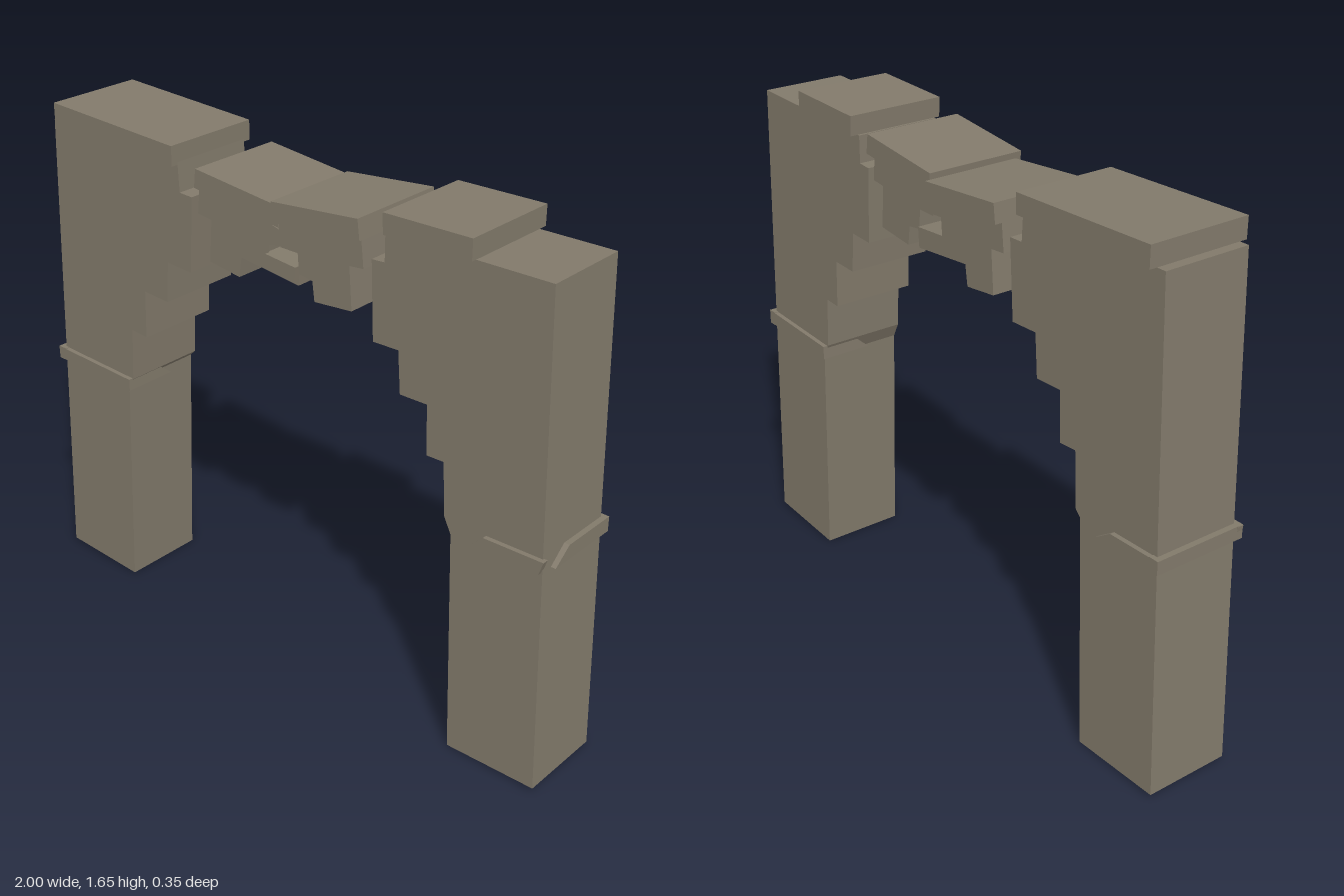
import * as THREE from 'three';

export function createModel() {
  const model = new THREE.Group();
  const stone = new THREE.MeshStandardMaterial({ color: 0x81796a });
  stone.name = 'weathered stone';

  // Extrudes an x/y outline from z0 to z1
  function slab(name, points, z0, z1, parent = model) {
    const shape = new THREE.Shape(points.map(([x, y]) => new THREE.Vector2(x, y)));
    const geo = new THREE.ExtrudeGeometry(shape, { depth: z1 - z0, bevelEnabled: false });
    geo.translate(0, 0, z0);
    const mesh = new THREE.Mesh(geo, stone);
    mesh.name = name;
    parent.add(mesh);
    return mesh;
  }

  // Leaning pillars with stepped corbels
  slab('rightPillar', [
    [-1, 0.015], [-0.69, 0.003], [-0.66, 0.76], [-0.64, 0.78], [-0.63, 0.96], [-0.565, 0.955],
    [-0.56, 1.115], [-0.46, 1.11], [-0.45, 1.245], [-0.35, 1.24], [-0.335, 1.485],
    [-0.385, 1.487], [-0.39, 1.58], [-0.94, 1.59], [-0.97, 0.78],
  ], -0.14, 0.14);
  slab('leftPillar', [
    [0.685, 0.003], [0.995, 0.015], [0.94, 1.585], [0.4, 1.575], [0.4, 1.488], [0.355, 1.485],
    [0.365, 1.242], [0.455, 1.245], [0.465, 1.113], [0.56, 1.115], [0.565, 0.958],
    [0.625, 0.96], [0.635, 0.79], [0.66, 0.74],
  ], -0.14, 0.14);

  // Cap stones on the pillars
  slab('rightCap', [[-0.91, 1.59], [-0.39, 1.572], [-0.39, 1.635], [-0.91, 1.655]], -0.165, 0.163);
  slab('leftCap', [[0.408, 1.575], [0.7, 1.582], [0.7, 1.645], [0.405, 1.638]], -0.165, 0.16);

  // Two broken, sagging pieces of the span
  slab('rightSpan', [
    [-0.32, 1.435], [-0.265, 1.43], [-0.275, 1.295], [-0.155, 1.28], [-0.145, 1.345],
    [0.08, 1.322], [0.085, 1.385], [-0.035, 1.395], [-0.03, 1.45], [0.03, 1.445],
    [0.035, 1.48], [-0.31, 1.53],
  ], -0.15, 0.13);
  slab('rightSpanCap', [[-0.315, 1.522], [0.02, 1.487], [0.01, 1.552], [-0.308, 1.582]], -0.176, 0.148);
  slab('leftSpan', [
    [0.03, 1.432], [0.095, 1.432], [0.1, 1.37], [0.15, 1.363], [0.158, 1.302], [0.295, 1.315],
    [0.285, 1.448], [0.335, 1.453], [0.325, 1.545], [0.02, 1.515],
  ], -0.135, 0.15);
  slab('leftSpanCap', [[0.018, 1.508], [0.336, 1.54], [0.328, 1.602], [0.012, 1.57]], -0.157, 0.17);
  slab('spanFragment', [[-0.035, 1.35], [0.08, 1.338], [0.085, 1.385], [-0.03, 1.395]], 0.13, 0.15);
  slab('spanChip', [[-0.03, 1.425], [0.04, 1.435], [0.04, 1.48], [0, 1.49]], 0.13, 0.15);

  // Thin moulding on the front and back of each pillar, chipped at one end
  slab('rightFrontLedge', [[-0.985, 0.752], [-0.65, 0.742], [-0.645, 0.782], [-0.99, 0.792]], 0.135, 0.155);
  slab('rightBackLedge', [[-0.985, 0.752], [-0.74, 0.744], [-0.8, 0.785], [-0.985, 0.792]], -0.155, -0.135);
  slab('leftFrontLedge', [[0.735, 0.742], [0.965, 0.748], [0.98, 0.793], [0.78, 0.787]], 0.135, 0.155);
  slab('leftBackLedge', [[0.655, 0.742], [0.98, 0.752], [0.985, 0.797], [0.64, 0.787]], -0.155, -0.135);

  // Moulding on the outer and inner sides; the outline runs from front to back
  function sideLedge(name, points, x0, x1) {
    slab(name, points, x0, x1).rotation.y = Math.PI / 2;
  }
  sideLedge('leftOuterLedge', [[-0.1, 0.75], [0.155, 0.75], [0.155, 0.798], [-0.04, 0.798]], 0.955, 0.985);
  sideLedge('rightOuterLedge', [[-0.155, 0.75], [0.155, 0.75], [0.155, 0.793], [-0.155, 0.793]], -0.988, -0.955);
  sideLedge('rightInnerLedge', [[-0.155, 0.742], [0.03, 0.742], [-0.02, 0.782], [-0.155, 0.782]], -0.67, -0.643);
  sideLedge('leftInnerLedge', [[-0.02, 0.742], [0.155, 0.742], [0.155, 0.787], [0.03, 0.787]], 0.64, 0.67);

  return model;
}
